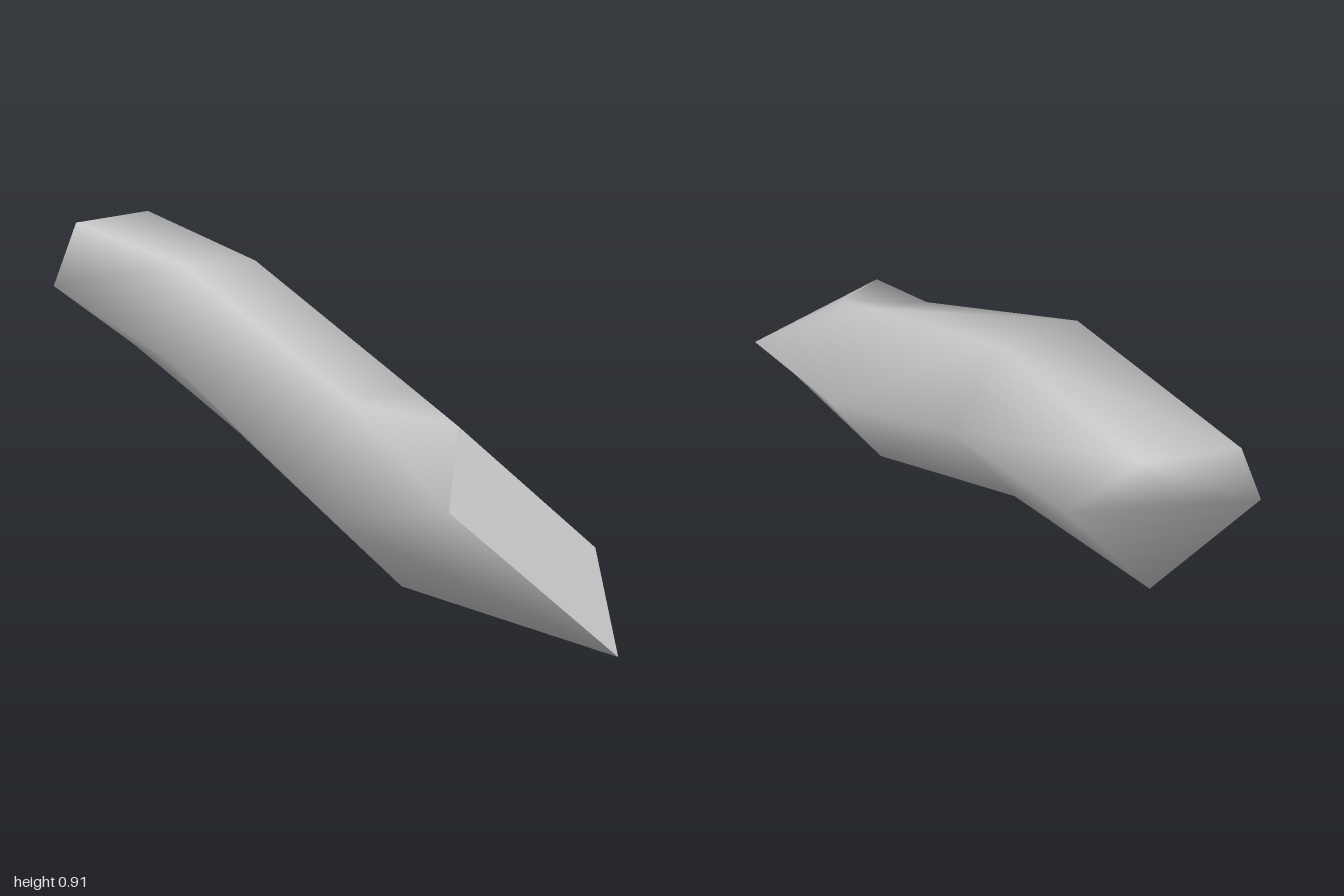
import * as THREE from 'three';
import { mergeVertices } from 'three/addons/utils/BufferGeometryUtils.js';

// Five-sided cross-sections along the bent log, from the raised back end
// to the slanted cut at the front: left edge, two top edges, right edge, keel.
const RINGS = [
  [[-0.83, 0.68, -0.76], [-0.77, 0.88, -0.86], [-0.55, 0.91, -1.0], [-0.38, 0.75, -0.99], [-0.58, 0.47, -0.87]],
  [[-0.37, 0.54, -0.1], [-0.33, 0.81, -0.15], [-0.13, 0.81, -0.32], [-0.02, 0.58, -0.39], [-0.18, 0.3, -0.25]],
  [[0.14, 0.21, 0.52], [0.18, 0.52, 0.46], [0.34, 0.54, 0.36], [0.45, 0.27, 0.24], [0.32, 0, 0.38]],
  [[0.83, 0.01, 1.0], [0.43, 0.34, 0.95], [0.46, 0.47, 0.53], [0.8, 0.2, 0.71], [0.83, 0.01, 1.0]],
];

function makeGeometry(points, index) {
  const geometry = new THREE.BufferGeometry();
  geometry.setAttribute('position', new THREE.Float32BufferAttribute(points.flat(), 3));
  geometry.setIndex(index);
  return geometry;
}

// Bark: quads between neighbouring rings, with the back end closed smoothly
function barkGeometry() {
  const n = RINGS[0].length;
  const index = [];
  for (let i = 0; i < RINGS.length - 1; i++) {
    for (let j = 0; j < n; j++) {
      const a = i * n + j, b = i * n + (j + 1) % n;
      index.push(a, a + n, b + n, a, b + n, b);
    }
  }
  for (let j = 1; j < n - 1; j++) index.push(0, j, j + 1);
  const geometry = mergeVertices(makeGeometry(RINGS.flat(), index));
  geometry.computeVertexNormals();
  return geometry;
}

// Slanted flat cut at the front end
function cutGeometry() {
  const [tip, left, top, right] = RINGS[RINGS.length - 1];
  const geometry = makeGeometry([left, tip, right, top], [0, 1, 2, 0, 2, 3]);
  geometry.computeVertexNormals();
  return geometry;
}

export function createModel() {
  const grey = new THREE.MeshStandardMaterial({ color: 0xc8c8c8 });
  grey.name = 'grey';

  const group = new THREE.Group();
  group.name = 'log';

  const bark = new THREE.Mesh(barkGeometry(), grey);
  bark.name = 'bark';
  const cut = new THREE.Mesh(cutGeometry(), grey);
  cut.name = 'cutEnd';

  group.add(bark, cut);
  return group;
}
